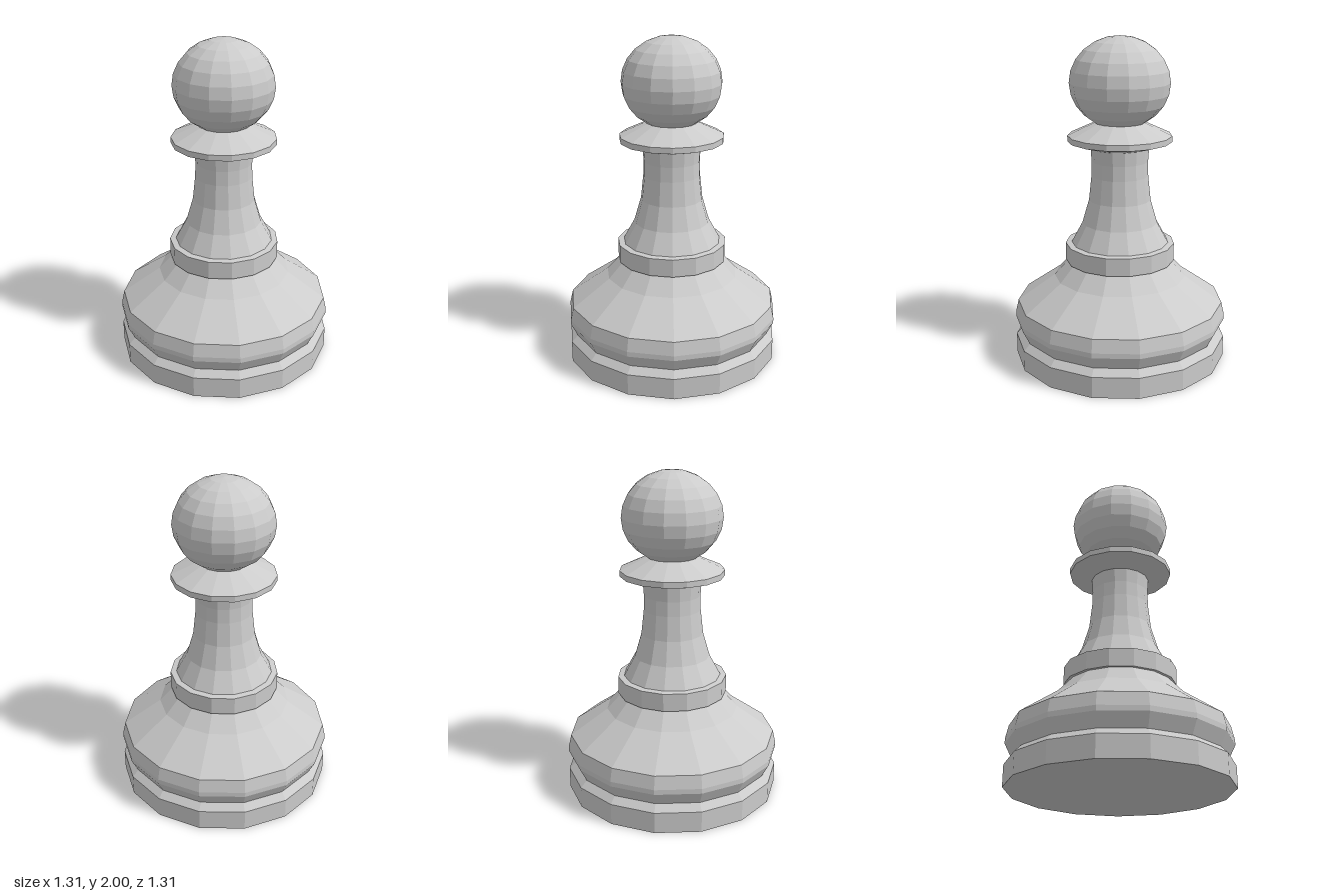
import * as THREE from 'three';

const SIDES = 15;

export function createModel() {
  const model = new THREE.Group();
  const material = new THREE.MeshStandardMaterial({ color: 0xcccccc, flatShading: true });

  // Turns a [radius, height] profile, listed bottom to top, with a corner on +x
  function turn(name, profile) {
    const points = profile.map(([r, y]) => new THREE.Vector2(r, y));
    const mesh = new THREE.Mesh(new THREE.LatheGeometry(points, SIDES, Math.PI / 2), material);
    mesh.name = name;
    model.add(mesh);
  }

  // Foot with closed underside, rising into the groove
  turn('foot', [[0, 0], [0.66, 0], [0.66, 0.13], [0.62, 0.17]]);

  // Swelling body above the groove
  turn('body', [[0.62, 0.17], [0.66, 0.25], [0.66, 0.28], [0.642, 0.36], [0.41, 0.525], [0.318, 0.625]]);

  // Band at the bottom of the stem, with a narrow ledge on top
  turn('lowerBand', [[0.318, 0.625], [0.337, 0.625], [0.337, 0.735], [0.3, 0.74]]);

  // Waisted stem
  turn('stem', [[0.3, 0.74], [0.232, 0.865], [0.19, 1.01], [0.174, 1.16], [0.172, 1.25], [0.178, 1.335]]);

  // Disc collar under the head
  turn('collar', [[0.178, 1.335], [0.317, 1.375], [0.317, 1.41], [0.15, 1.487]]);

  // Slightly flattened ball, open where it meets the collar
  const ball = [];
  for (let deg = -60; deg <= 90; deg += 15) {
    const a = THREE.MathUtils.degToRad(deg);
    ball.push([deg === 90 ? 0 : 0.303 * Math.cos(a), 1.725 + 0.275 * Math.sin(a)]);
  }
  turn('head', ball);

  // The odd side count puts the axis just off the middle of the bounds
  for (const part of model.children) part.position.x = -0.007;
  return model;
}
